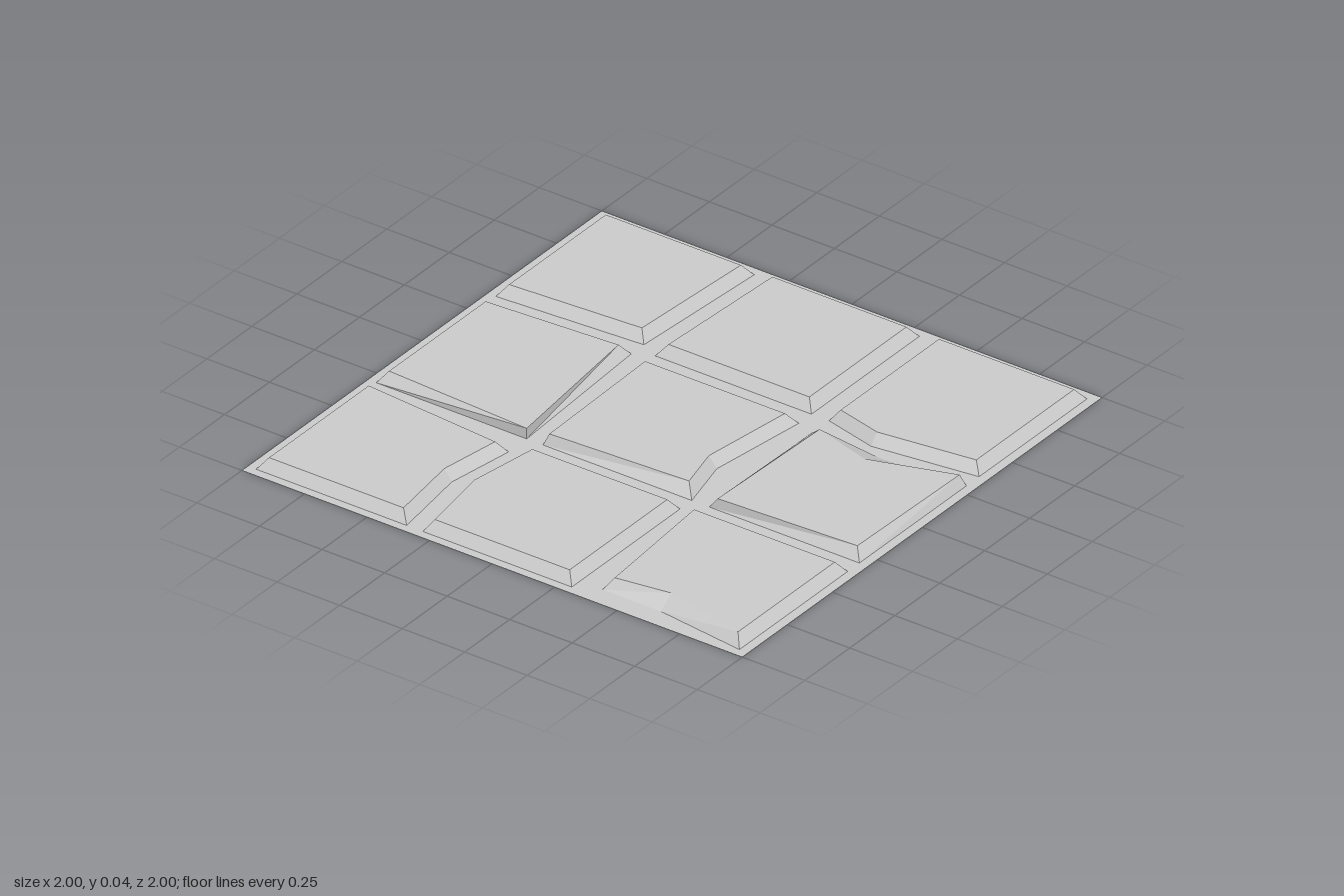
import * as THREE from 'three';

const HEIGHT = 0.04;
const BEVEL = 0.03;
const START = [-0.967, -0.3, 0.365];
const END = [-0.365, 0.295, 0.965];

// Irregularities of each stone, row by row from the back. Corners run
// back-left, back-right, front-right, front-left.
// move: corner shifts; kink: [edge, fraction along it, inward dent];
// slope: run of the bevel from foot to top where it is not regular
const STONES = [
  { move: { 1: [0.015, 0], 2: [-0.035, 0] }, kink: [2, 0.46, 0.04] },
  { move: { 2: [0.035, -0.035] }, slope: { 3: [0, 0] } },
  { move: { 3: [0.035, -0.035] } },
  { kink: [0, 0.51, -0.045] },
  { move: { 1: [0, -0.03] }, kink: [2, 0.65, 0.05], slope: { 0: [0.015, 0.015], 4: [0.04, -0.04] } },
  { move: { 0: [0, -0.03] } },
  { move: { 0: [0.045, 0.02], 1: [0, -0.025] }, kink: [3, 0.6, 0.018], slope: { 4: [0.06, 0] } },
  { move: { 1: [-0.025, 0] }, kink: [1, 0.46, 0.011],
    slope: { 0: [0.005, 0.03], 1: [-0.02, 0.045], 2: [-0.085, -0.005], 3: [-0.01, -0.02] } },
  { kink: [3, 0.66, -0.05] },
];

// Unit normal pointing into the stone from edge a-b, in (x, z)
function inward(a, b) {
  return new THREE.Vector2(a.y - b.y, b.x - a.x).normalize();
}

// Outline of a stone on the ground, in (x, z)
function footOutline({ move = {}, kink }, column, row) {
  const x = [START[column], END[column]], z = [START[row], END[row]];
  const points = [[0, 0], [1, 0], [1, 1], [0, 1]].map(([i, j], k) => {
    const [dx, dz] = move[k] ?? [0, 0];
    return new THREE.Vector2(x[i] + dx, z[j] + dz);
  });
  if (kink) {
    const [edge, t, dent] = kink;
    const a = points[edge], b = points[(edge + 1) % 4];
    points.splice(edge + 1, 0, a.clone().lerp(b, t).addScaledVector(inward(a, b), dent));
  }
  return points;
}

// Outline of the upper face: the foot inset evenly, except at worn corners
function topOutline(foot, slope = {}) {
  const n = foot.length;
  return foot.map((p, i) => {
    if (slope[i]) return new THREE.Vector2(...slope[i]).add(p);
    const before = inward(foot[(i + n - 1) % n], p);
    const after = inward(p, foot[(i + 1) % n]);
    const mitre = BEVEL / (1 + before.dot(after));
    return p.clone().addScaledVector(before.add(after), mitre);
  });
}

const flip = (outline) => outline.map((p) => new THREE.Vector2(p.x, -p.y));

// Flat horizontal sheet facing up at height y
function sheet(shape, y) {
  return new THREE.ShapeGeometry(shape).rotateX(-Math.PI / 2).translate(0, y, 0);
}

// Sloping band joining the foot outline to the top outline
function bevelBand(foot, top) {
  const positions = [];
  foot.forEach((p, i) => {
    const j = (i + 1) % foot.length;
    const a = [p.x, 0, p.y], b = [foot[j].x, 0, foot[j].y];
    const c = [top[i].x, HEIGHT, top[i].y], d = [top[j].x, HEIGHT, top[j].y];
    positions.push(...a, ...c, ...b, ...b, ...c, ...d);
  });
  const geometry = new THREE.BufferGeometry();
  geometry.setAttribute('position', new THREE.Float32BufferAttribute(positions, 3));
  geometry.computeVertexNormals();
  return geometry;
}

export function createModel() {
  const model = new THREE.Group();
  model.name = 'stoneFloorTile';
  const material = new THREE.MeshStandardMaterial({
    color: 0xcccccc, flatShading: true, side: THREE.DoubleSide,
  });
  const add = (parent, geometry, name) => {
    const mesh = new THREE.Mesh(geometry, material);
    mesh.name = name;
    parent.add(mesh);
  };

  const grout = new THREE.Shape();
  grout.moveTo(-1, -1).lineTo(1, -1).lineTo(1, 1).lineTo(-1, 1).closePath();

  // Raised paving stones with chipped, bevelled edges
  STONES.forEach((spec, i) => {
    const foot = footOutline(spec, i % 3, Math.floor(i / 3));
    const top = topOutline(foot, spec.slope);
    const stone = new THREE.Group();
    stone.name = `stone${i + 1}`;
    add(stone, sheet(new THREE.Shape(flip(top)), HEIGHT), 'stoneTop');
    add(stone, bevelBand(foot, top), 'stoneBevel');
    model.add(stone);
    grout.holes.push(new THREE.Path(flip(foot)));
  });

  // Grout sheet, open beneath every stone
  add(model, sheet(grout, 0), 'grout');
  return model;
}
